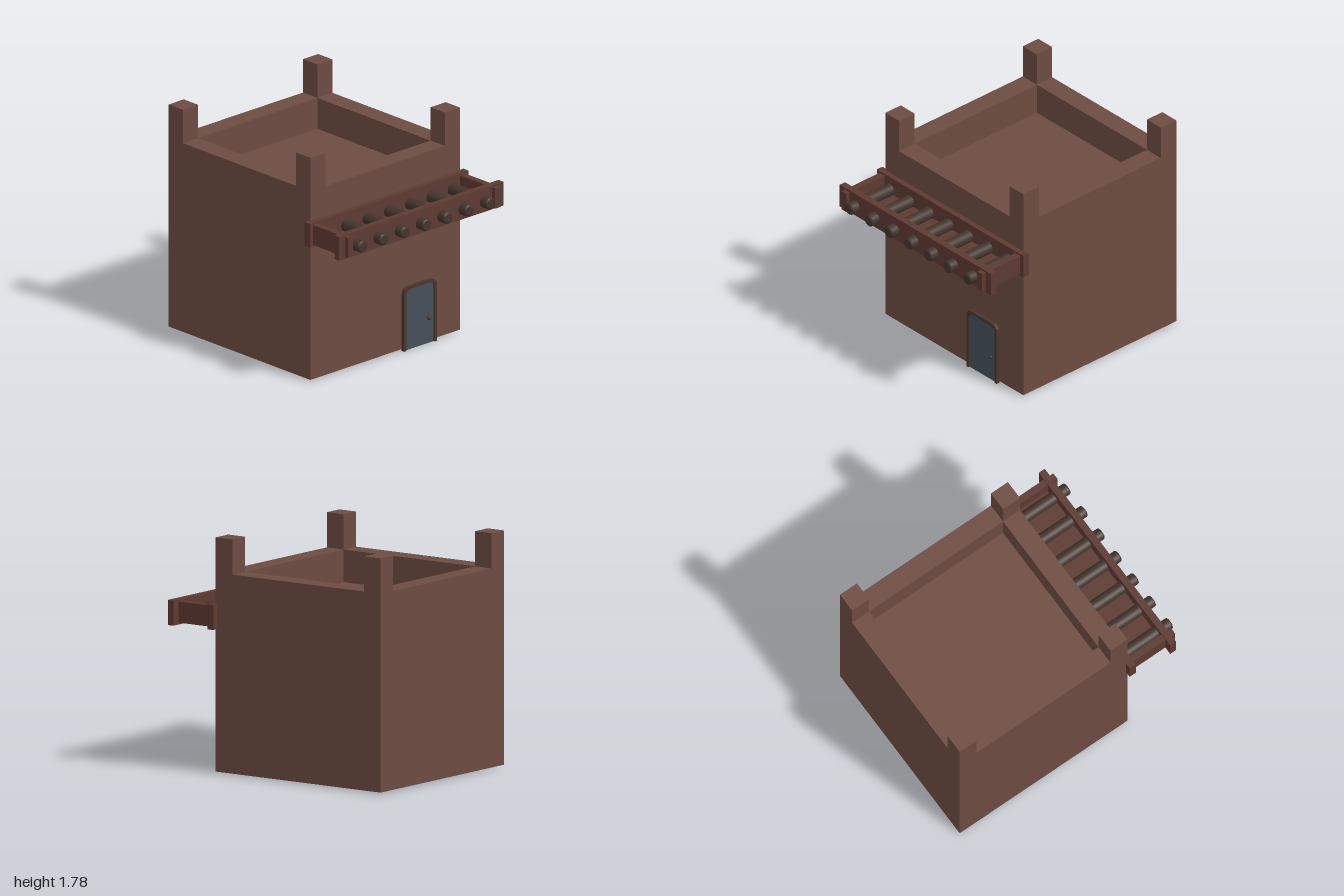
import * as THREE from 'three';

const mat = (color, extra = {}) => new THREE.MeshStandardMaterial({ color, ...extra });

export function createModel() {
  const group = new THREE.Group();
  const clay = mat(0x6d4c41);
  const plank = mat(0x5d3a32);
  const timber = mat(0x43352d);
  const frameMat = mat(0x4a352d);
  const doorMat = mat(0x455059);

  const add = (name, geometry, material) => {
    const mesh = new THREE.Mesh(geometry, material);
    mesh.name = name;
    group.add(mesh);
    return mesh;
  };
  // Box given by its two opposite corners
  const box = (name, material, [x0, y0, z0], [x1, y1, z1]) => {
    const mesh = add(name, new THREE.BoxGeometry(x1 - x0, y1 - y0, z1 - z0), material);
    mesh.position.set((x0 + x1) / 2, (y0 + y1) / 2, (z0 + z1) / 2);
    return mesh;
  };

  // House body up to the sunken roof
  const L = -0.77, R = 0.763, B = -1, F = 0.537, T = 0.155;
  const base = 0.012, roof = 1.27, rim = 1.517, top = 1.783;
  box('houseBody', clay, [L, base, B], [R, roof, F]);

  // Parapet ring around the roof
  const rectangle = (Type, x0, z0, x1, z1) => new Type().moveTo(x0, -z0).lineTo(x0, -z1)
    .lineTo(x1, -z1).lineTo(x1, -z0).closePath();
  const ring = rectangle(THREE.Shape, L, B, R, F);
  ring.holes.push(rectangle(THREE.Path, L + T, B + T, R - T, F - T));
  const parapet = add('parapet', new THREE.ExtrudeGeometry(ring, { depth: rim - roof, bevelEnabled: false }), clay);
  parapet.rotation.x = -Math.PI / 2;
  parapet.position.y = roof;

  // Corner posts
  for (const x of [L, R - T]) {
    for (const z of [B, F - T]) box('cornerPost', clay, [x, rim, z], [x + T, top, z + T]);
  }

  // Balcony planks
  box('balconyBackPlank', plank, [-0.817, 1.09, 0.524], [0.81, 1.28, 0.58]);
  box('balconyFrontPlank', plank, [-0.844, 1.09, 0.875], [0.838, 1.28, 0.928]);
  for (const x of [-0.786, 0.723]) box('balconySidePlank', plank, [x, 1.105, 0.55], [x + 0.053, 1.265, 0.962]);
  box('balconyFloor', plank, [-0.722, 1.12, 0.56], [0.724, 1.14, 0.89]);

  // Round logs running through the front plank, with eased ends
  const r = 0.047, z0 = 0.52, z1 = 1;
  const profile = [[0, z0], [r, z0], [r, z0], [r, z1 - 0.012], [r - 0.004, z1 - 0.004], [r - 0.012, z1], [r - 0.012, z1], [0, z1]]
    .map(([x, y]) => new THREE.Vector2(x, y));
  const logGeometry = new THREE.LatheGeometry(profile, 24);
  for (let i = 0; i < 7; i++) {
    const log = add('log', logGeometry, timber);
    log.rotation.x = Math.PI / 2;
    log.position.set(-0.667 + i * 0.2185, 1.175, 0);
  }

  // Arched door outline with rounded top corners
  const arch = (Type, x0, x1, y1, c) => new Type().moveTo(x0, 0).lineTo(x1, 0).lineTo(x1, y1 - c)
    .quadraticCurveTo(x1, y1, x1 - c, y1).lineTo(x0 + c, y1).quadraticCurveTo(x0, y1, x0, y1 - c).closePath();
  const extrude = (shape, depth) => new THREE.ExtrudeGeometry(shape, { depth, bevelEnabled: false, curveSegments: 4 });

  // Frame: outer arch with the door opening cut away
  const frameShape = new THREE.Shape().moveTo(0.163, 0).lineTo(0.186, 0).lineTo(0.186, 0.425)
    .quadraticCurveTo(0.186, 0.485, 0.246, 0.485).lineTo(0.418, 0.485)
    .quadraticCurveTo(0.478, 0.485, 0.478, 0.425).lineTo(0.478, 0).lineTo(0.5, 0).lineTo(0.5, 0.447)
    .quadraticCurveTo(0.5, 0.507, 0.44, 0.507).lineTo(0.223, 0.507)
    .quadraticCurveTo(0.163, 0.507, 0.163, 0.447).closePath();
  add('doorFrame', extrude(frameShape, 0.027), frameMat).position.z = 0.54;
  add('door', extrude(arch(THREE.Shape, 0.186, 0.478, 0.485, 0.06), 0.014), doorMat).position.z = 0.54;
  add('doorKnob', new THREE.SphereGeometry(0.015, 16, 12), timber).position.set(0.425, 0.2, 0.56);

  return group;
}
